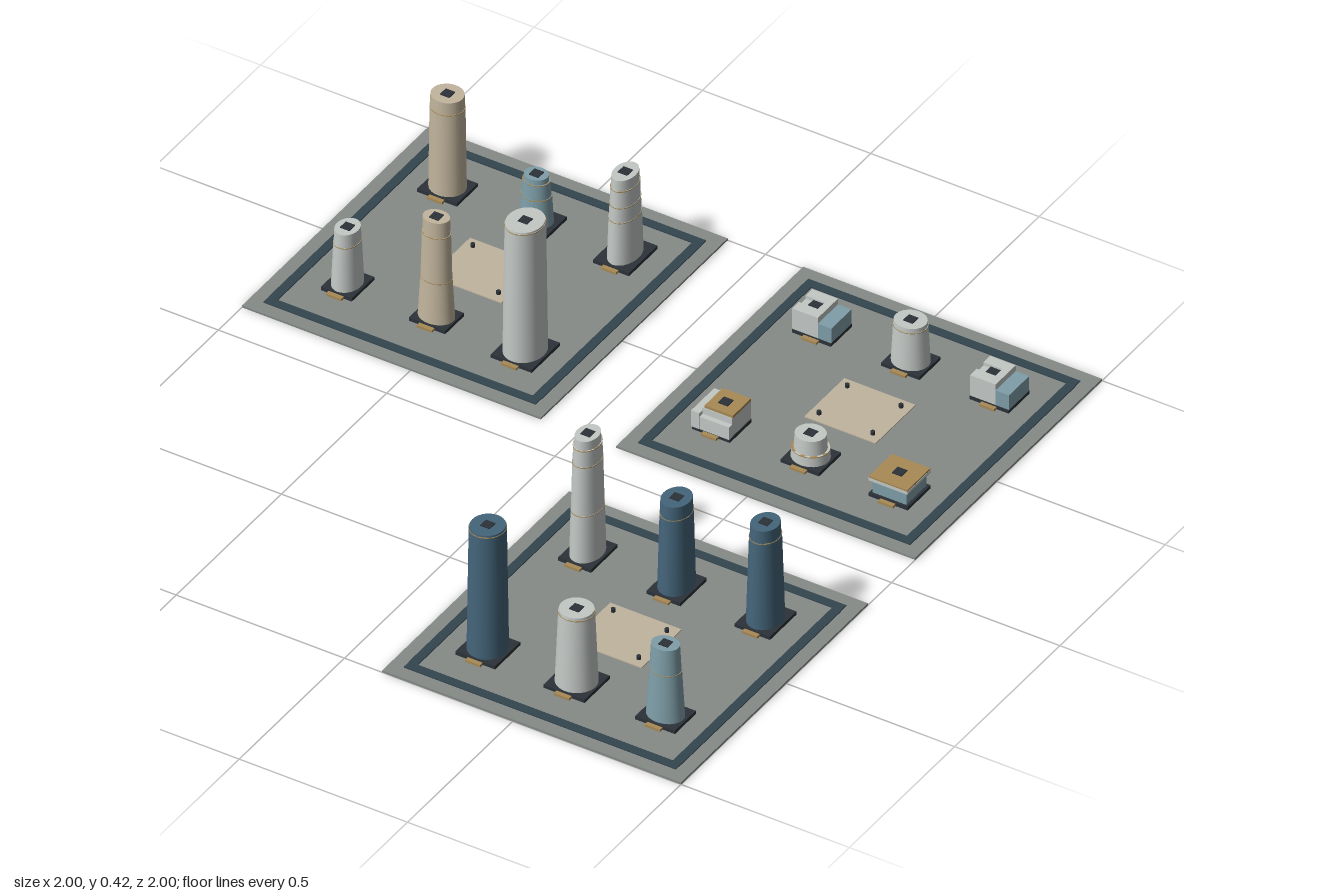
import * as THREE from 'three';

const mat = (color) => new THREE.MeshStandardMaterial({ color });
const M = {
  ground: mat(0x858b88), stripe: mat(0x33454f), plaza: mat(0xbfb49e), dark: mat(0x2b3238),
  white: mat(0xc4c9c6), beige: mat(0xc2b59d), pale: mat(0x7f9fa9), blue: mat(0x44657a), ochre: mat(0xa88a55),
};
const GROUND = 0.006, PLINTH = 0.016;

// Box given by its centre in plan and its bottom and top height
function box(parent, name, material, x, z, w, d, y0, y1) {
  const mesh = new THREE.Mesh(new THREE.BoxGeometry(w, y1 - y0, d), material);
  mesh.position.set(x, (y0 + y1) / 2, z);
  mesh.name = name;
  parent.add(mesh);
}

// Elliptical tapered drum
function drum(parent, name, material, rx, rz, f0, f1, y0, y1) {
  const mesh = new THREE.Mesh(new THREE.CylinderGeometry(f1, f0, y1 - y0, 28), material);
  mesh.scale.set(rx, 1, rz);
  mesh.position.y = (y0 + y1) / 2;
  mesh.name = name;
  parent.add(mesh);
}

// Plinth and entrance step shared by every building
function footing(w, d, x, z) {
  const g = new THREE.Group();
  g.position.set(x, 0, z);
  box(g, 'plinth', M.dark, 0, 0, w, d, GROUND, PLINTH);
  box(g, 'entranceStep', M.ochre, 0, d / 2 + 0.005, 0.045, 0.016, GROUND, 0.013);
  return g;
}

// Tiers are [top height, bottom factor, top factor] of the base ellipse
function tower(board, { x, z, w, d, rx, rz, color, tiers }) {
  const g = footing(w, d, x, z);
  g.name = 'tower';
  let y = PLINTH;
  tiers.forEach(([top, f0, f1], i) => {
    drum(g, 'tier', M[color], rx, rz, f0, f1, y, top);
    // thin shadow line between tiers
    if (i < tiers.length - 1) drum(g, 'floorBand', M.ochre, rx, rz, f1 + 0.012, f1 + 0.012, top - 0.002, top);
    y = top;
  });
  box(g, 'roofCore', M.dark, 0, 0, 0.028, 0.028, y - 0.002, y + 0.002);
  board.add(g);
}

// Low house with a tall white block and a lower pale wing
function wingHouse(board, x, z) {
  const g = footing(0.116, 0.1, x, z);
  g.name = 'wingHouse';
  box(g, 'mainBlock', M.white, -0.02, 0, 0.076, 0.096, PLINTH, 0.07);
  for (const s of [-1, 1]) box(g, 'roofBar', M.white, -0.02, s * 0.032, 0.076, 0.032, 0.07, 0.08);
  box(g, 'roofBar', M.white, 0.008, 0, 0.02, 0.032, 0.07, 0.08);
  box(g, 'wing', M.pale, 0.038, 0, 0.04, 0.096, PLINTH, 0.062);
  box(g, 'roofCore', M.dark, -0.02, 0, 0.03, 0.03, 0.07, 0.076);
  board.add(g);
}

// Low house with an ochre roof inside white side walls
function courtHouse(board, x, z) {
  const g = footing(0.112, 0.104, x, z);
  g.name = 'courtHouse';
  box(g, 'body', M.white, 0.01, -0.006, 0.088, 0.09, PLINTH, 0.074);
  box(g, 'sideWall', M.white, -0.045, 0, 0.024, 0.11, PLINTH, 0.066);
  box(g, 'frontWall', M.white, 0, 0.046, 0.11, 0.016, PLINTH, 0.055);
  box(g, 'roof', M.ochre, 0.014, -0.006, 0.084, 0.086, 0.074, 0.082);
  box(g, 'roofCore', M.dark, 0.01, -0.003, 0.028, 0.028, 0.082, 0.085);
  board.add(g);
}

// Low pavilion under a flat ochre roof
function pavilion(board, x, z) {
  const g = footing(0.116, 0.11, x, z);
  g.name = 'pavilion';
  box(g, 'body', M.pale, 0, 0, 0.1, 0.096, PLINTH, 0.056);
  box(g, 'eaves', M.white, 0, 0, 0.116, 0.112, 0.056, 0.064);
  box(g, 'roof', M.ochre, 0, 0, 0.114, 0.11, 0.064, 0.069);
  box(g, 'roofCore', M.dark, 0, 0, 0.028, 0.028, 0.069, 0.072);
  board.add(g);
}

// Ground slab with border stripe, plaza and four bollards
function makeBoard(name, x, z) {
  const g = new THREE.Group();
  g.name = name;
  g.position.set(x, 0, z);
  box(g, 'ground', M.ground, 0, 0, 0.888, 0.888, 0, GROUND);
  for (const s of [-1, 1]) {
    box(g, 'borderStripe', M.stripe, 0, s * 0.392, 0.808, 0.026, GROUND, 0.009);
    box(g, 'borderStripe', M.stripe, s * 0.392, 0, 0.026, 0.758, GROUND, 0.009);
  }
  box(g, 'plaza', M.plaza, 0, -0.004, 0.212, 0.19, GROUND, 0.009);
  for (const sx of [-1, 1]) for (const sz of [-1, 1]) {
    const post = new THREE.Mesh(new THREE.CylinderGeometry(0.006, 0.006, 0.01, 10), M.dark);
    post.position.set(sx * 0.08, 0.014, sz * 0.067 - 0.004);
    post.name = 'bollard';
    g.add(post);
  }
  return g;
}

export function createModel() {
  const model = new THREE.Group();
  model.name = 'districtModel';
  const L = -0.264, R = 0.264, B = -0.245, F = 0.23;

  // Mixed towers
  const a = makeBoard('mixedTowerBoard', -0.556, -0.556);
  tower(a, { x: L, z: B, w: 0.118, d: 0.1, rx: 0.05, rz: 0.046, color: 'beige',
    tiers: [[0.27, 1, 0.93], [0.307, 0.91, 0.89]] });
  tower(a, { x: 0, z: B, w: 0.118, d: 0.1, rx: 0.042, rz: 0.036, color: 'pale',
    tiers: [[0.1, 1.1, 0.98], [0.145, 0.94, 0.88], [0.16, 0.8, 0.78]] });
  tower(a, { x: R, z: B, w: 0.107, d: 0.136, rx: 0.04, rz: 0.06, color: 'white',
    tiers: [[0.145, 1, 0.91], [0.19, 0.89, 0.86], [0.24, 0.84, 0.81], [0.272, 0.78, 0.76]] });
  tower(a, { x: L, z: F, w: 0.092, d: 0.107, rx: 0.039, rz: 0.049, color: 'white',
    tiers: [[0.15, 1, 0.86], [0.19, 0.84, 0.8]] });
  tower(a, { x: 0, z: F, w: 0.108, d: 0.09, rx: 0.05, rz: 0.04, color: 'beige',
    tiers: [[0.14, 1, 0.86], [0.28, 0.85, 0.78], [0.327, 0.75, 0.73]] });
  tower(a, { x: R, z: F, w: 0.122, d: 0.134, rx: 0.055, rz: 0.064, color: 'white',
    tiers: [[0.415, 1, 0.91], [0.42, 0.89, 0.88]] });

  // Low houses
  const b = makeBoard('lowHouseBoard', 0.556, -0.556);
  wingHouse(b, L, B);
  wingHouse(b, R, B);
  tower(b, { x: 0, z: B, w: 0.114, d: 0.1, rx: 0.052, rz: 0.047, color: 'white',
    tiers: [[0.13, 1, 0.88], [0.143, 0.86, 0.85]] });
  tower(b, { x: 0, z: F, w: 0.114, d: 0.104, rx: 0.052, rz: 0.048, color: 'white',
    tiers: [[0.045, 1, 0.97], [0.088, 0.85, 0.8]] });
  courtHouse(b, L, F);
  pavilion(b, R, F);

  // Tall towers
  const c = makeBoard('tallTowerBoard', 0.556, 0.556);
  tower(c, { x: L, z: B, w: 0.098, d: 0.126, rx: 0.042, rz: 0.057, color: 'white',
    tiers: [[0.16, 1, 0.93], [0.31, 0.91, 0.84], [0.36, 0.82, 0.8], [0.387, 0.74, 0.72]] });
  tower(c, { x: 0, z: B, w: 0.1, d: 0.126, rx: 0.046, rz: 0.056, color: 'blue',
    tiers: [[0.25, 1, 0.88], [0.29, 0.86, 0.84]] });
  tower(c, { x: R, z: B, w: 0.105, d: 0.126, rx: 0.047, rz: 0.056, color: 'blue',
    tiers: [[0.28, 1, 0.84], [0.317, 0.8, 0.78]] });
  tower(c, { x: L, z: F, w: 0.118, d: 0.12, rx: 0.053, rz: 0.056, color: 'blue',
    tiers: [[0.395, 1, 0.9], [0.4, 0.87, 0.86]] });
  tower(c, { x: 0, z: F, w: 0.122, d: 0.12, rx: 0.056, rz: 0.055, color: 'white',
    tiers: [[0.235, 1, 0.84], [0.243, 0.82, 0.81]] });
  tower(c, { x: R, z: F, w: 0.118, d: 0.1, rx: 0.052, rz: 0.043, color: 'pale',
    tiers: [[0.16, 1, 0.84], [0.237, 0.82, 0.74]] });

  model.add(a, b, c);
  return model;
}
